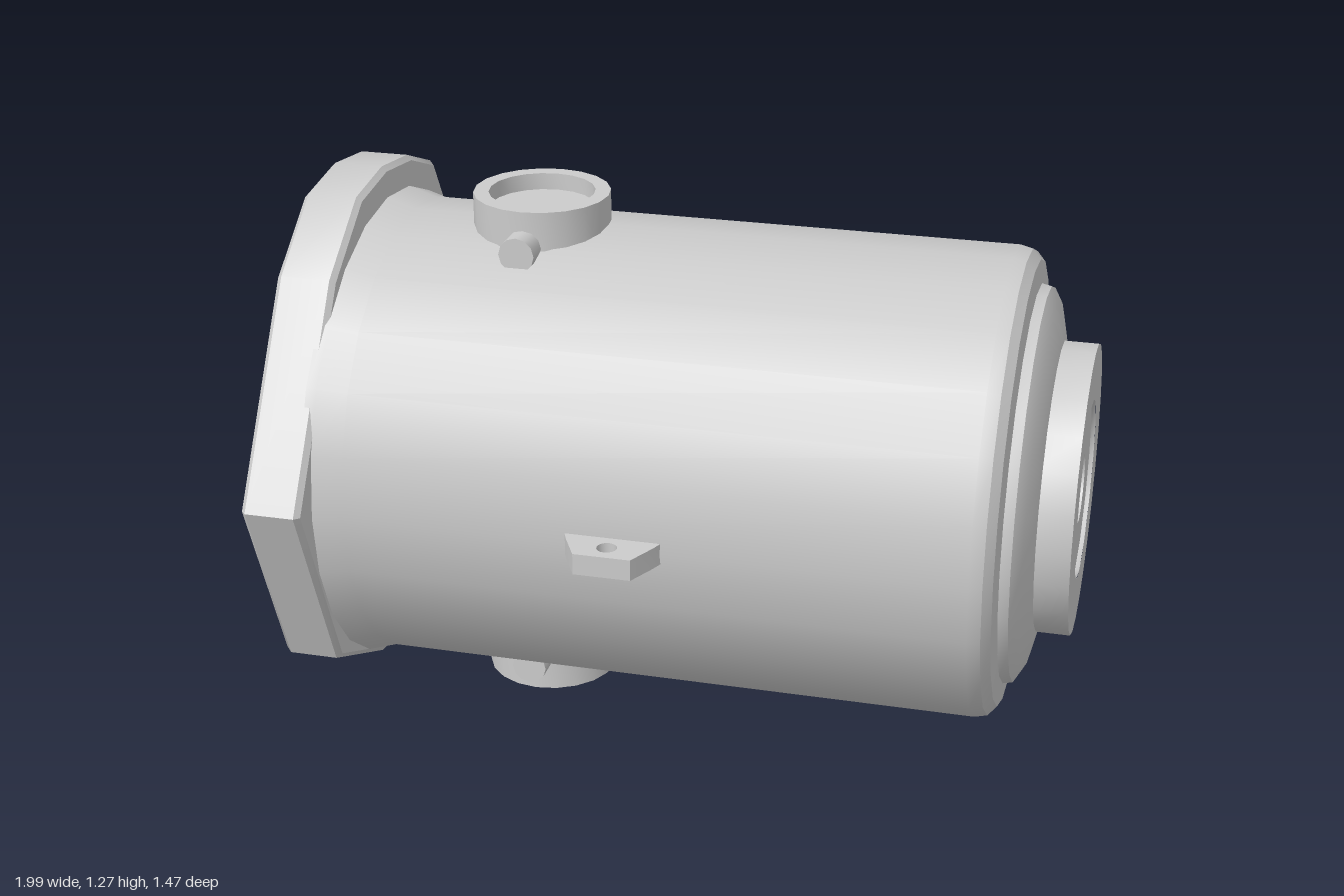
import * as THREE from 'three';
import { toCreasedNormals } from 'three/addons/utils/BufferGeometryUtils.js';

const AXIS_Y = 0.625, AXIS_Z = 0.035; // housing axis, running along local x

export function createModel() {
  const model = new THREE.Group();
  model.name = 'motorHousing';
  model.rotation.y = -THREE.MathUtils.degToRad(12);
  const root = new THREE.Group();
  root.add(model);

  const material = new THREE.MeshStandardMaterial({ color: 0xcccccc });
  const add = (name, geometry, parent = model) => {
    const mesh = new THREE.Mesh(toCreasedNormals(geometry, 0.56), material);
    mesh.name = name;
    parent.add(mesh);
    return mesh;
  };
  const lathe = (points, segments) =>
    new THREE.LatheGeometry(points.map(([r, h]) => new THREE.Vector2(r, h)), segments);
  // Turned part along the housing axis: points are [radius, x]
  const turned = (name, points, segments = 24) => {
    const mesh = add(name, lathe(points, segments).rotateZ(-Math.PI / 2));
    mesh.position.set(0, AXIS_Y, AXIS_Z);
    return mesh;
  };

  // Barrel with a flared root and stepped, rounded shoulder
  turned('barrel', [
    [0, -0.76], [0.575, -0.76], [0.575, -0.735], [0.555, -0.668], [0.555, 0.755],
    [0.548, 0.785], [0.525, 0.805], [0.47, 0.812], [0.465, 0.835], [0.43, 0.855],
    [0.335, 0.877], [0, 0.877],
  ].slice(0, 11));

  // End boss, with a shallow twelve-sided recess and a shaft hole
  turned('endBoss', [[0.342, 0.85], [0.342, 0.954], [0.21, 0.954]]);
  turned('bossRecess', [[0.212, 0.954], [0.21, 0.944], [0.082, 0.944], [0.082, 0.78], [0, 0.78]], 12);

  // Irregular mounting flange, outline as [z, y]
  const outline = [
    [0.687, 0.66], [0.5, 0.2], [0.21, 0.06], [-0.07, 0.045], [-0.285, 0.055],
    [-0.57, 0.42], [-0.56, 0.68], [-0.44, 0.95], [-0.3, 1.185], [-0.14, 1.25],
    [0.03, 1.275], [0.2, 1.255], [0.39, 1.12],
  ];
  const flangeShape = new THREE.Shape(outline.map(([z, y]) => new THREE.Vector2(-z, y)));
  const flange = new THREE.ExtrudeGeometry(flangeShape, {
    depth: 0.116, bevelEnabled: true, bevelThickness: 0.012, bevelSize: 0.012,
    bevelOffset: -0.012, bevelSegments: 1,
  });
  add('mountingFlange', flange.rotateY(Math.PI / 2).translate(-0.863, 0, 0));

  // Low hub on the flange face
  turned('flangeHub', [
    [0, -0.955], [0.145, -0.955], [0.245, -0.905], [0.25, -0.89], [0.345, -0.89], [0.345, -0.87],
  ], 20);

  // Top and bottom ports, each with a recessed floor and two side pins
  for (const [side, name] of [[1, 'topPort'], [-1, 'bottomPort']]) {
    const port = new THREE.Group();
    port.name = name;
    port.position.set(-0.349, AXIS_Y, AXIS_Z);
    if (side < 0) port.rotation.x = Math.PI;
    add('portCollar', lathe([[0.161, 0.5], [0.161, 0.625], [0.125, 0.625], [0.125, 0.585], [0, 0.585]], 20), port);
    for (const s of [1, -1]) {
      const pin = add('portPin', new THREE.CylinderGeometry(0.042, 0.042, 0.1, 12).rotateX(Math.PI / 2), port);
      pin.position.set(0, 0.538, s * 0.162);
    }
    model.add(port);
  }

  // Small drilled lug on the side of the barrel, drawn as [x, z]
  const lugShape = new THREE.Shape(
    [[-0.125, 0.55], [0.125, 0.55], [0.1, 0.61], [0.065, 0.678], [-0.065, 0.678], [-0.1, 0.61]]
      .map(([x, z]) => new THREE.Vector2(x, z)));
  lugShape.holes.push(new THREE.Path().absarc(0, 0.632, 0.023, 0, Math.PI * 2, true));
  const lug = new THREE.ExtrudeGeometry(lugShape, { depth: 0.05, bevelEnabled: false, curveSegments: 8 });
  add('sideLug', lug.rotateX(Math.PI / 2).translate(-0.035, 0.65, 0));

  return root;
}
